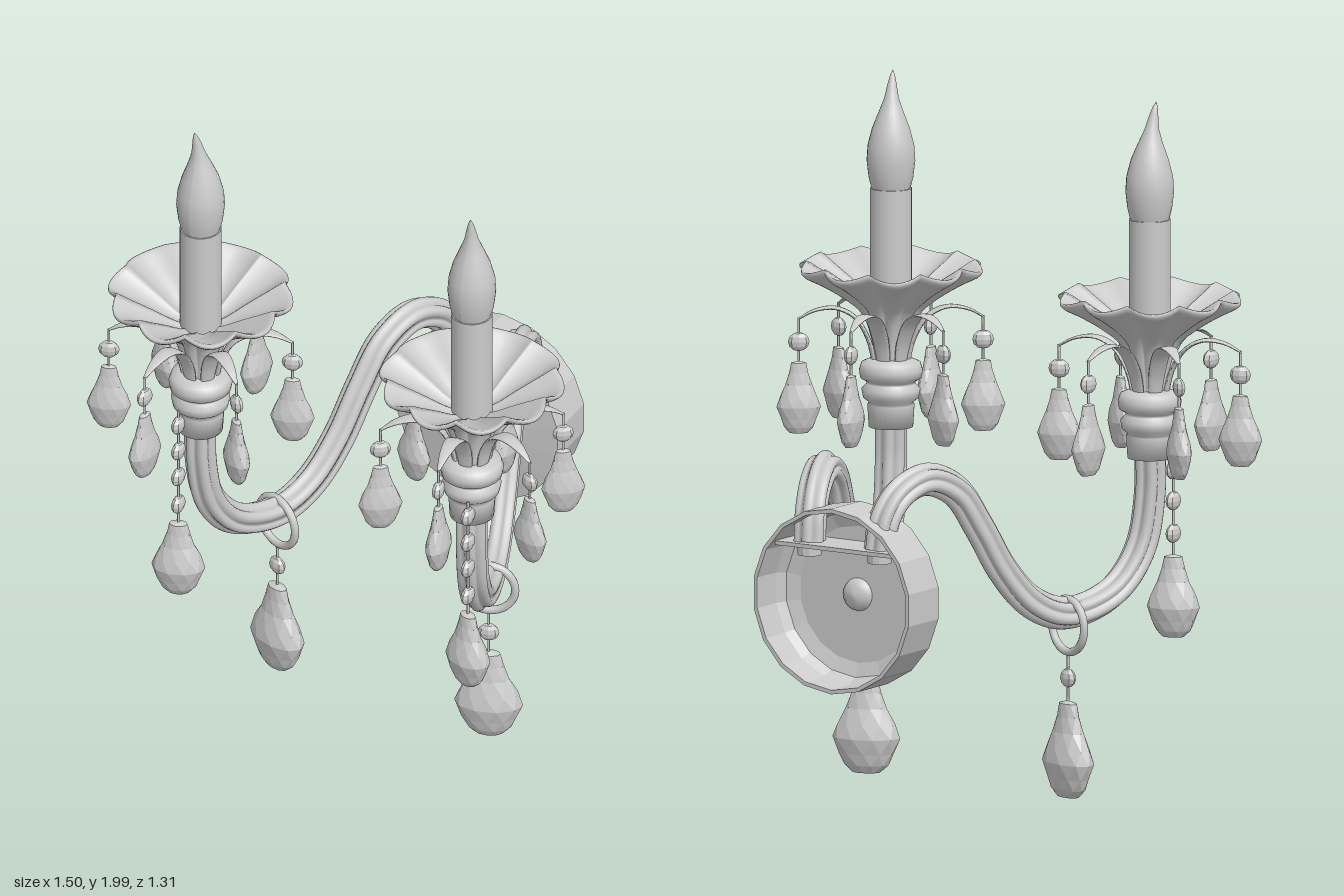
import * as THREE from 'three';
import { ParametricGeometry } from 'three/addons/geometries/ParametricGeometry.js';

const smooth = new THREE.MeshStandardMaterial({ color: 0xcccccc, side: THREE.DoubleSide });
const faceted = new THREE.MeshStandardMaterial({ color: 0xcccccc, side: THREE.DoubleSide, flatShading: true });
const AX = 0.445, AZ = 0.325; // candle axis
const V = (x, y, z) => new THREE.Vector3(x, y, z);

function add(parent, name, geometry, material = smooth, x = 0, y = 0, z = 0) {
  const mesh = new THREE.Mesh(geometry, material);
  mesh.name = name;
  mesh.position.set(x, y, z);
  parent.add(mesh);
  return mesh;
}

const lathe = (pts, n = 28) => new THREE.LatheGeometry(pts.map(p => new THREE.Vector2(...p)), n);

// Sweep a section (t, angle) => [across plane normal, along side] along a planar curve
function sweep(curve, side, section, around, along) {
  return new ParametricGeometry((u, v, out) => {
    const a = u * Math.PI * 2;
    const normal = side.clone().cross(curve.getTangent(v)).normalize();
    const [n, b] = section(v, a);
    out.copy(curve.getPoint(v)).addScaledVector(normal, n * Math.cos(a)).addScaledVector(side, b * Math.sin(a));
  }, around, along);
}

// Faceted crystal drop: staggered rings, unit half width, y from 0 to 1
function crystalGeometry() {
  const profile = [[0, 0], [0.42, 0.0], [0.66, 0.08], [0.82, 0.2], [1, 0.36], [0.86, 0.5], [0.6, 0.67], [0.44, 0.83], [0.34, 0.97], [0, 1]];
  const n = 10, pos = [], index = [];
  profile.forEach(([r, y], i) => {
    for (let j = 0; j < n; j++) {
      const a = (j + (i % 2) / 2) / n * Math.PI * 2;
      pos.push(r * Math.cos(a), y, r * Math.sin(a));
    }
  });
  for (let i = 0; i < profile.length - 1; i++) {
    for (let j = 0; j < n; j++) {
      const k = (j + 1) % n, a = i * n + j, b = i * n + k, c = a + n, d = b + n;
      if (i % 2) index.push(a, c, d, a, d, b);
      else index.push(a, c, b, b, c, d);
    }
  }
  const g = new THREE.BufferGeometry();
  g.setAttribute('position', new THREE.Float32BufferAttribute(pos, 3));
  g.setIndex(index);
  g.computeVertexNormals();
  return g;
}
const crystal = crystalGeometry();
const beadShape = new THREE.SphereGeometry(0.031, 8, 6);

// Wire, beads and a crystal drop hanging at x, z; turn sets the wide direction
function pendant(parent, name, { x, z, top, beads, dropTop, dropBottom, half, depth, turn, beadTurn = turn }) {
  const g = new THREE.Group();
  g.name = name;
  g.position.set(x, 0, z);
  const len = top - dropTop + 0.01;
  add(g, 'wire', new THREE.CylinderGeometry(0.004, 0.004, len, 6), smooth, 0, top - len / 2, 0);
  for (const y of beads) {
    const b = add(g, 'bead', beadShape, faceted, 0, y, 0);
    b.scale.set(1, 0.9, 0.55);
    b.rotation.y = beadTurn;
  }
  const drop = add(g, 'crystalDrop', crystal, faceted, 0, dropBottom, 0);
  drop.scale.set(half, dropTop - dropBottom, depth);
  drop.rotation.y = turn;
  parent.add(g);
}

// Scalloped drip dish with an outer and an inner skin
function dishGeometry() {
  const line = new THREE.CatmullRomCurve3([
    [0.045, 1.15], [0.055, 1.22], [0.085, 1.3], [0.14, 1.35], [0.2, 1.39], [0.258, 1.425],
    [0.258, 1.437], [0.2, 1.408], [0.14, 1.375], [0.07, 1.335], [0.02, 1.32],
  ].map(([r, y]) => V(r, y, 0)));
  return new ParametricGeometry((u, v, out) => {
    const a = u * Math.PI * 2, p = line.getPoint(v);
    const lobe = Math.abs(Math.cos(5 * a)) - 0.6;
    const r = p.x * (1 + lobe * 0.09);
    out.set(r * Math.sin(a), p.y - lobe * 0.02 * (p.x / 0.26), r * Math.cos(a));
  }, 100, 36);
}

// Flame bulb with a bent tip
function bulbGeometry(s) {
  const pts = [[0.055, 1.655], [0.064, 1.69], [0.07, 1.74], [0.067, 1.785], [0.054, 1.835], [0.036, 1.88], [0.021, 1.92], [0.013, 1.96], [0.007, 1.985], [0, 2]];
  const g = lathe(pts, 24), p = g.attributes.position;
  for (let i = 0; i < p.count; i++) {
    const t = Math.max(0, (p.getY(i) - 1.82) / 0.18);
    p.setX(i, p.getX(i) + s * 0.008 * t * t);
    p.setZ(i, p.getZ(i) + 0.022 * t * t);
  }
  g.computeVertexNormals();
  return g;
}

function lamp(s) {
  const g = new THREE.Group();
  g.name = s > 0 ? 'leftLamp' : 'rightLamp';
  const armX = z => s * (AX - 0.325 * (AZ - z) / 0.91);

  // Fluted swan-neck arm
  const path = new THREE.CatmullRomCurve3([
    [0.325, 1.0], [0.325, 0.86], [0.295, 0.71], [0.22, 0.605], [0.12, 0.555], [0.02, 0.548], [-0.08, 0.595], [-0.17, 0.695],
    [-0.25, 0.83], [-0.33, 0.945], [-0.43, 0.99], [-0.52, 0.955], [-0.57, 0.885], [-0.585, 0.8],
  ].map(([z, y]) => V(armX(z), y, z)));
  const dir = V(-s * 0.325, 0, -0.91).normalize();
  const side = V(0, 1, 0).cross(dir).normalize();
  const flute = (t, a) => { const r = 0.036 + 0.012 * Math.abs(Math.cos(3 * a)); return [r, r]; };
  add(g, 'arm', sweep(path, side, flute, 36, 90));
  add(g, 'armNut', new THREE.CylinderGeometry(0.035, 0.035, 0.03, 12), faceted, armX(-0.585), 0.78, -0.585);

  // Ring around the arm and the large drop below it
  const rz = 0.05, rx = armX(rz), turn = Math.atan2(dir.x, dir.z);
  add(g, 'armRing', new THREE.TorusGeometry(0.077, 0.012, 10, 36), smooth, rx, 0.508, rz).rotation.y = turn;
  pendant(g, 'largePendant', { x: rx, z: rz, top: 0.43, beads: [0.355], dropTop: 0.29, dropBottom: 0.01, half: 0.1, depth: 0.056, turn });

  const top = new THREE.Group();
  top.name = 'candleHolder';
  top.position.set(s * AX, 0, AZ);
  g.add(top);

  // Turned collar, dish, candle and bulb
  add(top, 'collar', lathe([[0, 0.965], [0.064, 0.965], [0.068, 1.03], [0.062, 1.035], [0.08, 1.05], [0.085, 1.075], [0.07, 1.09],
    [0.07, 1.097], [0.088, 1.108], [0.092, 1.13], [0.085, 1.152], [0.06, 1.163], [0, 1.165]]));
  add(top, 'dripDish', dishGeometry());
  add(top, 'candle', new THREE.CylinderGeometry(0.06, 0.06, 0.34, 28), smooth, 0, 1.49, 0);
  add(top, 'flameBulb', bulbGeometry(s));

  // Six curved leaves, each carrying a small drop
  for (let k = 0; k < 6; k++) {
    const a = THREE.MathUtils.degToRad(38 + 60 * k);
    const dx = -s * Math.cos(a), dz = Math.sin(a);
    const leafPath = new THREE.CatmullRomCurve3([[0.045, 1.14], [0.065, 1.22], [0.105, 1.285], [0.16, 1.312], [0.22, 1.305], [0.268, 1.28]]
      .map(([r, y]) => V(r * dx, y, r * dz)));
    const leaf = (t, q) => [0.008 * (1 - 0.6 * t), 0.004 + 0.024 * Math.sin(Math.PI * Math.min(1, 0.2 + 0.8 * t))];
    add(top, 'leaf', sweep(leafPath, V(-dz, 0, dx), leaf, 10, 20));
    pendant(top, 'smallPendant', {
      x: 0.265 * dx, z: 0.265 * dz, top: 1.285, beads: [1.215], dropTop: 1.16, dropBottom: 0.95,
      half: 0.064, depth: 0.034, turn: Math.atan2(-dz, dx),
    });
  }

  // Long bead chain in front of the arm
  pendant(top, 'longPendant', {
    x: s * 0.03, z: 0.077, top: 1.06, beads: [1.01, 0.92, 0.83, 0.735], dropTop: 0.675, dropBottom: 0.435,
    half: 0.078, depth: 0.052, turn: -s * 0.35, beadTurn: Math.PI / 2,
  });
  return g;
}

export function createModel() {
  const model = new THREE.Group();
  model.name = 'wallSconce';

  // Hollow wall plate, open at the back, with a shallow cone front
  const plate = new THREE.Group();
  plate.name = 'wallPlate';
  plate.position.y = 0.65;
  model.add(plate);
  const shell = add(plate, 'plateShell', lathe([[0, -0.515], [0.2, -0.515], [0.24, -0.53], [0.256, -0.56], [0.258, -0.655],
    [0.27, -0.655], [0.27, -0.5], [0, -0.475]], 18), faceted);
  shell.rotation.x = Math.PI / 2;
  const boss = add(plate, 'plateBoss', lathe([[0, -0.545], [0.03, -0.54], [0.045, -0.525], [0.05, -0.51]].reverse(), 20));
  boss.rotation.x = Math.PI / 2;
  add(plate, 'armBracket', new THREE.BoxGeometry(0.4, 0.012, 0.13), smooth, 0, 0.15, -0.58);

  for (const s of [1, -1]) model.add(lamp(s));
  return model;
}
